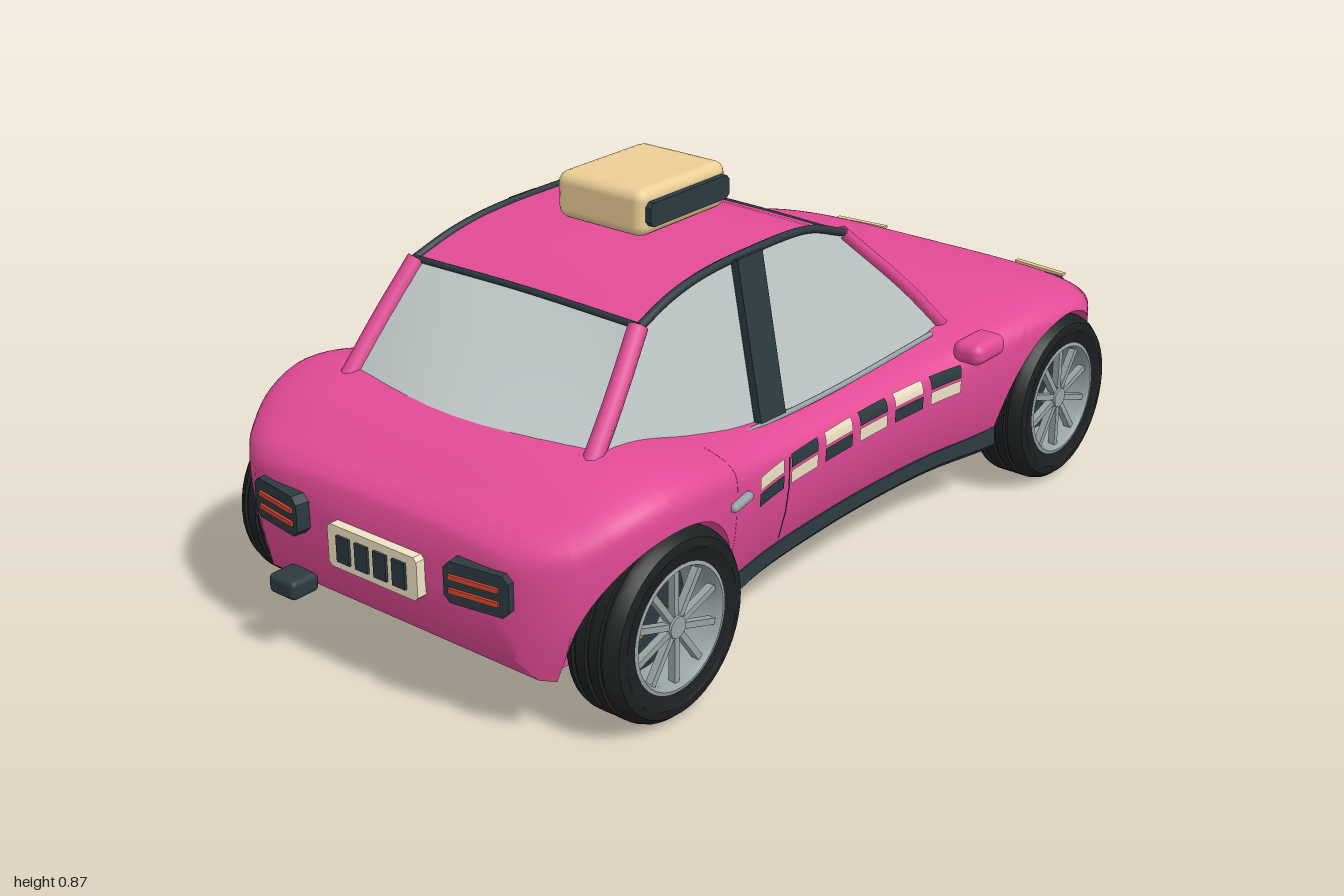
import * as THREE from 'three';
import { toCreasedNormals } from 'three/addons/utils/BufferGeometryUtils.js';
import { RoundedBoxGeometry } from 'three/addons/geometries/RoundedBoxGeometry.js';

const mat = (color, side = THREE.FrontSide) => new THREE.MeshStandardMaterial({ color, side });
const pink = mat(0xe34b96, THREE.DoubleSide), dark = mat(0x2c3a40, THREE.DoubleSide);
const glass = mat(0xc3cccc, THREE.DoubleSide), rubber = mat(0x1d2021), silver = mat(0x98a3a5, THREE.DoubleSide);
const cream = mat(0xeee2c4, THREE.DoubleSide), tan = mat(0xeccd95), gold = mat(0xb98a2c), red = mat(0xd8452e);

const WHEELS = [-0.68, 0.69], WHEEL_Y = 0.195, ARCH = 0.205, FLOOR = 0.13;

// Body stations: x, top height, half width, underside height
const BODY = [
  [-0.95, 0.39, 0.30, 0.24], [-0.94, 0.41, 0.36, 0.18], [-0.91, 0.43, 0.41, 0.135], [-0.88, 0.445, 0.44, 0.13],
  [-0.8, 0.485, 0.485, 0.13], [-0.7, 0.51, 0.51, 0.13], [-0.6, 0.503, 0.508, 0.13], [-0.45, 0.465, 0.475, 0.13],
  [-0.3, 0.435, 0.447, 0.13], [-0.1, 0.42, 0.435, 0.13], [0.1, 0.415, 0.435, 0.13], [0.3, 0.42, 0.45, 0.13],
  [0.45, 0.44, 0.482, 0.13], [0.58, 0.455, 0.503, 0.13], [0.7, 0.452, 0.51, 0.13], [0.8, 0.437, 0.495, 0.13],
  [0.88, 0.415, 0.455, 0.13], [0.93, 0.39, 0.405, 0.135], [0.955, 0.373, 0.355, 0.17], [0.972, 0.355, 0.30, 0.22],
];

// Smooth lookup of one column of a station table
function sample(table, x, col) {
  let i = 0;
  while (i < table.length - 2 && x > table[i + 1][0]) i++;
  const slope = (k) => {
    const a = table[Math.max(k - 1, 0)], b = table[Math.min(k + 1, table.length - 1)];
    return (b[col] - a[col]) / (b[0] - a[0]);
  };
  const a = table[i], b = table[i + 1], h = b[0] - a[0], t = (x - a[0]) / h, s = 1 - t;
  return a[col] * (1 + 2 * t) * s * s + b[col] * t * t * (3 - 2 * t) + h * s * t * (slope(i) * s - slope(i + 1) * t);
}

// Half width of the body side at a given height
function bodyZ(x, y) {
  const top = sample(BODY, x, 1), w = sample(BODY, x, 2), mid = top * 0.81;
  if (y >= mid) return w * Math.pow(Math.max(0, 1 - ((y - mid) / (top - mid)) ** 4), 0.25);
  return w - 0.05 * ((mid - y) / (mid - FLOOR)) ** 2;
}

// Grid surface; its front is the side of (d/du x d/dv)
function surface(nu, nv, fn) {
  const pos = [], idx = [];
  for (let i = 0; i <= nu; i++) for (let j = 0; j <= nv; j++) pos.push(...fn(i / nu, j / nv, i, j));
  for (let i = 0; i < nu; i++) for (let j = 0; j < nv; j++) {
    const a = i * (nv + 1) + j, b = a + nv + 1;
    idx.push(a, b, a + 1, b, b + 1, a + 1);
  }
  const g = new THREE.BufferGeometry();
  g.setAttribute('position', new THREE.Float32BufferAttribute(pos, 3));
  g.setIndex(idx);
  g.computeVertexNormals();
  return g;
}

const tube = (pts, r, n = 16) =>
  new THREE.TubeGeometry(new THREE.CatmullRomCurve3(pts.map((p) => new THREE.Vector3(...p))), n, r, 8);

// Plate with cut corners, facing +x
function plate(w, h, d, c) {
  const s = new THREE.Shape(), x = w / 2, y = h / 2;
  [[-x + c, -y], [x - c, -y], [x, -y + c], [x, y - c], [x - c, y], [-x + c, y], [-x, y - c], [-x, -y + c]]
    .forEach((p, i) => (i ? s.lineTo(...p) : s.moveTo(...p)));
  return new THREE.ExtrudeGeometry(s, { depth: d, bevelEnabled: false }).translate(0, 0, -d / 2).rotateY(Math.PI / 2);
}

// Loft with wheel arches cut into its lower edge
function bodyGeometry() {
  const xs = BODY.map((r) => r[0]);
  for (let x = -0.86; x < 0.9; x += 0.04) xs.push(x);
  for (const w of WHEELS) {
    for (let k = 0; k <= 24; k++) xs.push(w + ARCH * Math.cos((k * Math.PI) / 24));
    xs.push(w - ARCH - 0.001, w + ARCH + 0.001);
  }
  xs.sort((a, b) => a - b);
  const N = 28;
  const sections = xs.map((x) => {
    const top = sample(BODY, x, 1), floor = sample(BODY, x, 3);
    let low = floor;
    for (const w of WHEELS) {
      const d = ARCH * ARCH - (x - w) ** 2;
      if (d > -1e-9) low = WHEEL_Y + Math.sqrt(Math.max(d, 0));
    }
    const zIn = Math.min(0.36, bodyZ(x, low));
    const half = [[x, floor, 0], [x, floor, zIn], [x, low, zIn]];
    for (let k = N; k >= 0; k--) {
      const y = low + (top - low) * (1 - (k / N) ** 4);
      half.push([x, y, bodyZ(x, y)]);
    }
    return half.concat(half.slice(0, -1).reverse().map(([a, b, c]) => [a, b, -c]));
  });
  const cap = (s, dx) => s.map(([x]) => [x + dx, 0.3, 0]);
  sections.unshift(cap(sections[0], -0.003));
  sections.push(cap(sections[sections.length - 1], 0.006));
  return toCreasedNormals(surface(sections.length - 1, sections[0].length - 1, (u, v, i, j) => sections[i][j]), 0.6);
}

function wheel() {
  const g = new THREE.Group();
  g.name = 'wheel';
  const add = (name, geo, m) => {
    const o = new THREE.Mesh(geo, m);
    o.name = name;
    g.add(o);
    return o;
  };
  const lathe = (pts) => toCreasedNormals(
    new THREE.LatheGeometry(pts.map((p) => new THREE.Vector2(...p)), 48).rotateX(Math.PI / 2), 0.5);
  const tread = [-0.032, 0, 0.032].flatMap((c) => [[0.194, c - 0.005], [0.188, c - 0.003], [0.188, c + 0.003], [0.194, c + 0.005]]);
  add('tyre', lathe([[0.12, -0.05], [0.13, -0.062], [0.155, -0.066], [0.16, -0.068], [0.178, -0.064], [0.19, -0.05],
    ...tread, [0.19, 0.05], [0.178, 0.064], [0.16, 0.068], [0.155, 0.065], [0.13, 0.061], [0.12, 0.05]]), rubber);
  add('rim', lathe([[0.117, -0.05], [0.125, 0.05], [0.131, 0.062], [0.124, 0.064], [0.117, 0.05], [0.113, -0.05]]), silver);
  add('wheelBack', new THREE.CylinderGeometry(0.118, 0.118, 0.01, 32).rotateX(Math.PI / 2).translate(0, 0, -0.03), dark);
  add('brakeDisc', new THREE.CylinderGeometry(0.085, 0.085, 0.012, 32).rotateX(Math.PI / 2), dark);
  add('brakeCaliper', new RoundedBoxGeometry(0.035, 0.07, 0.035, 2, 0.008).translate(-0.08, 0.03, 0.012), gold);
  add('hub', new THREE.CylinderGeometry(0.022, 0.03, 0.03, 20).rotateX(Math.PI / 2).translate(0, 0, 0.042), silver);
  for (let i = 0; i < 10; i++) {
    const s = add('spoke', new THREE.BoxGeometry(0.1, 0.013, 0.016).translate(0.07, 0, 0.045), silver);
    s.rotation.z = (i * Math.PI) / 5 + Math.PI / 10;
  }
  return g;
}

export function createModel() {
  const car = new THREE.Group();
  car.name = 'taxi';
  const add = (name, geo, m) => {
    const o = new THREE.Mesh(geo, m);
    o.name = name;
    car.add(o);
    return o;
  };
  const both = (name, geo, m) => {
    add(name + 'PosZ', geo, m);
    add(name + 'NegZ', geo, m).scale.z = -1;
  };

  add('body', bodyGeometry(), pink);

  // Cabin
  const sideZ = (y) => 0.35 - (y - 0.42) * 0.19;
  const ROOF = [[-0.54, 0.70], [-0.45, 0.728], [-0.35, 0.745], [-0.2, 0.751], [0, 0.743], [0.11, 0.708]];
  add('roof', surface(24, 12, (u, v) => {
    const x = -0.54 + 0.65 * u, y = sample(ROOF, x, 1), t = 1 - 2 * v;
    return [x, y + 0.005 * (1 - t * t), t * sideZ(y)];
  }), pink);
  add('windshield', surface(6, 10, (u, v) => {
    const y = 0.708 - 0.308 * u, t = 1 - 2 * v;
    return [0.11 + 0.33 * u + 0.012 * u * (1 - t * t), y, t * sideZ(y)];
  }), glass);
  add('rearWindow', surface(10, 6, (u, v) => {
    const y = 0.70 - 0.25 * v, t = 1 - 2 * u;
    return [-0.54 - 0.2 * v - 0.055 * v * (1 - t * t), y, t * sideZ(y) * (1 - 0.04 * v)];
  }), glass);
  const pane = new THREE.Shape([...ROOF, [0.43, 0.41], [0.4, 0.38], [-0.4, 0.38], [-0.74, 0.45]].map((p) => new THREE.Vector2(...p)));
  const paneGeo = new THREE.ShapeGeometry(pane), p = paneGeo.attributes.position;
  for (let i = 0; i < p.count; i++) p.setZ(i, sideZ(p.getY(i)));
  paneGeo.computeVertexNormals();
  both('sideWindow', paneGeo, glass);
  both('frontPillar', tube([[0.11, 0.708, 0.293], [0.3, 0.542, 0.325], [0.43, 0.41, 0.35]], 0.015), pink);
  both('rearPillar', tube([[-0.54, 0.70, 0.293], [-0.63, 0.59, 0.312], [-0.72, 0.48, 0.325]], 0.02), pink);
  both('roofTrim', tube(ROOF.map(([x, y]) => [x, y, sideZ(y)]), 0.009, 30), dark);
  add('rearRoofTrim', tube([[-0.54, 0.70, -0.293], [-0.542, 0.706, 0], [-0.54, 0.70, 0.293]], 0.007), dark);
  add('frontRoofTrim', tube([[0.11, 0.708, -0.293], [0.113, 0.712, 0], [0.11, 0.708, 0.293]], 0.005), dark);
  const tilt = Math.atan(0.19);
  both('middlePillar', new THREE.BoxGeometry(0.08, 0.35, 0.03).rotateX(-tilt).translate(-0.215, 0.578, sideZ(0.578) + 0.003), dark);
  both('beltTrim', tube([[-0.32, 0.418, 0.365], [0, 0.412, 0.365], [0.35, 0.424, 0.367]], 0.006), silver);

  // Roof sign
  add('roofSign', new RoundedBoxGeometry(0.275, 0.1, 0.23, 2, 0.024).translate(-0.182, 0.817, 0), tan);
  add('roofSignPanel', plate(0.25, 0.05, 0.014, 0.01).rotateY(-Math.PI / 2).translate(-0.182, 0.818, 0.122), dark);

  // Side details following the body surface
  const patch = (x0, x1, y0, y1) => surface(4, 3, (u, v) => {
    const x = x0 + (x1 - x0) * u, y = y0 + (y1 - y0) * v;
    return [x, y, bodyZ(x, y) + 0.004];
  });
  for (let i = 0; i < 6; i++) for (let row = 0; row < 2; row++) {
    const x = -0.382 + i * 0.124, y = 0.35 - row * 0.035;
    both('check', patch(x, x + 0.097, y, y + 0.029), (i + row) % 2 ? dark : cream);
  }
  both('doorSeam', patch(-0.267, -0.262, 0.19, 0.375), dark);
  both('doorHandle', new RoundedBoxGeometry(0.075, 0.018, 0.02, 2, 0.008).rotateY(0.18).translate(-0.465, 0.365, bodyZ(-0.465, 0.365) + 0.004), silver);
  both('mirror', new RoundedBoxGeometry(0.115, 0.05, 0.075, 3, 0.022).translate(0.375, 0.412, 0.475), pink);
  const SKIRT = [[0.122, -0.05], [0.128, 0.004], [0.14, 0.014], [0.172, 0.012], [0.18, -0.02]];
  both('sideSkirt', toCreasedNormals(surface(24, 4, (u, v, i, j) => {
    const x = -0.475 + 0.96 * u, [y, out] = SKIRT[j], flare = 0.012 * Math.abs(2 * u - 1) ** 6;
    return [x, y + (j > 2 ? flare : 0), bodyZ(x, 0.15) + out];
  }), 0.5), dark);

  // Nose
  add('grille', plate(0.26, 0.065, 0.03, 0.012).translate(0.973, 0.283, 0), dark);
  add('frontBumper', new RoundedBoxGeometry(0.055, 0.034, 0.63, 2, 0.012).translate(0.957, 0.163, 0), dark);
  both('headlightHousing', plate(0.155, 0.07, 0.05, 0.018).rotateY(-0.12).translate(0.956, 0.333, 0.268), dark);
  for (const z of [0.22, 0.3]) {
    both('headlight', new THREE.CylinderGeometry(0.022, 0.026, 0.025, 20).rotateZ(-Math.PI / 2).translate(1.012 - z * 0.11, 0.334, z).translate(-0.006, 0, 0), tan);
    both('headlightRing', new THREE.TorusGeometry(0.025, 0.004, 8, 20).rotateY(Math.PI / 2).translate(1.006 - z * 0.11, 0.334, z), silver);
  }
  both('headlightBrow', new THREE.BoxGeometry(0.014, 0.006, 0.14).rotateY(-0.1).translate(0.985, 0.371, 0.262), tan);

  // Tail
  both('tailLightHousing', plate(0.145, 0.085, 0.05, 0.014).rotateY(0.15).translate(-0.945, 0.315, 0.265), dark);
  for (const y of [0.3, 0.328])
    both('tailLight', new THREE.BoxGeometry(0.01, 0.01, 0.11).rotateY(0.15).translate(-0.971, y, 0.265), red);
  add('rearPlate', plate(0.24, 0.09, 0.025, 0.008).translate(-0.96, 0.285, 0), cream);
  for (let i = 0; i < 4; i++)
    add('plateBlock', new THREE.BoxGeometry(0.008, 0.055, 0.034).translate(-0.974, 0.285, -0.075 + i * 0.05), dark);
  add('exhaust', new RoundedBoxGeometry(0.07, 0.042, 0.075, 2, 0.012).translate(-0.965, 0.16, -0.237), dark);

  // Wheels
  for (const x of WHEELS) for (const s of [1, -1]) {
    const w = wheel();
    w.position.set(x, WHEEL_Y, s * 0.447);
    w.scale.z = s;
    car.add(w);
  }
  return car;
}
